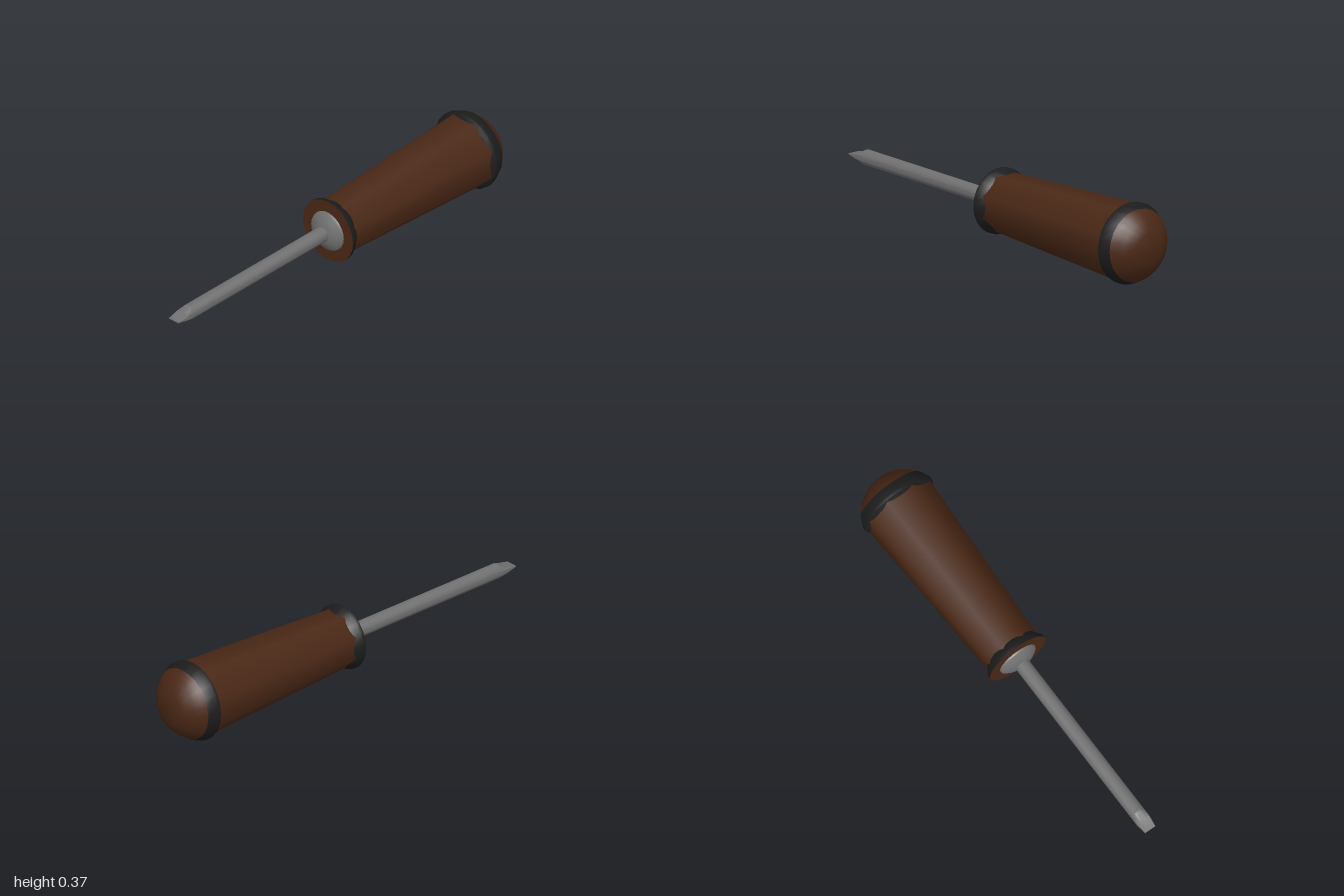
import * as THREE from 'three';
import { toCreasedNormals } from 'three/addons/utils/BufferGeometryUtils.js';

const AXIS_Y = 0.187;
const paint = (color) => new THREE.MeshStandardMaterial({ color });

// Turned shape along z from [radius, z] pairs, listed back to front
function turned(profile, sides = 24, start = 0) {
  const points = profile.map(([r, z]) => new THREE.Vector2(r, z));
  return new THREE.LatheGeometry(points, sides, start).rotateX(Math.PI / 2);
}

export function createModel() {
  const group = new THREE.Group();
  const wood = paint(0x4a2816);
  const rubber = paint(0x1c1c1c);
  const metal = paint(0x707070);

  const add = (name, geometry, material, crease = 0.6) => {
    const mesh = new THREE.Mesh(crease ? toCreasedNormals(geometry, crease) : geometry, material);
    mesh.name = name;
    mesh.position.y = AXIS_Y;
    group.add(mesh);
  };

  // Eight-sided tapering grip, softly shaded
  add('grip', turned([[0.177, -0.88], [0.135, -0.01]], 8, Math.PI / 8), wood, 0);

  // Rounded butt with a flat end
  add('butt', turned([[0, -1], [0.075, -1], [0.125, -0.97], [0.152, -0.94], [0.166, -0.92]]), wood);

  // Rings at both ends of the grip
  add('rearRing', turned([[0.166, -0.923], [0.185, -0.88], [0.184, -0.865], [0.165, -0.852], [0.14, -0.852]]), rubber);
  add('frontRing', turned([[0.1, -0.035], [0.127, -0.035], [0.149, -0.003], [0.15, 0.015]]), rubber);
  add('frontFace', turned([[0.15, 0.015], [0, 0.015]]), wood);

  // Domed metal ferrule around the shaft
  add('ferrule', turned([[0.096, 0.013], [0.092, 0.024], [0.07, 0.039], [0.045, 0.05], [0, 0.055]]), metal);

  // Round shaft whose end is ground flat on two sides
  const tip = [[0.91, 0.035], [0.95, 0.012], [1, 0.003]]; // z, half thickness
  const shaft = turned([[0.035, 0.02], [0.035, 0.91], [0.035, 0.95], [0.028, 1], [0, 1]]);
  const pos = shaft.attributes.position;
  for (const [z, half] of tip) {
    for (let i = 0; i < pos.count; i++) {
      if (Math.abs(pos.getZ(i) - z) < 1e-4) {
        pos.setY(i, THREE.MathUtils.clamp(pos.getY(i), -half, half));
      }
    }
  }
  shaft.computeVertexNormals();
  add('shaft', shaft, metal, 0.4);

  return group;
}
